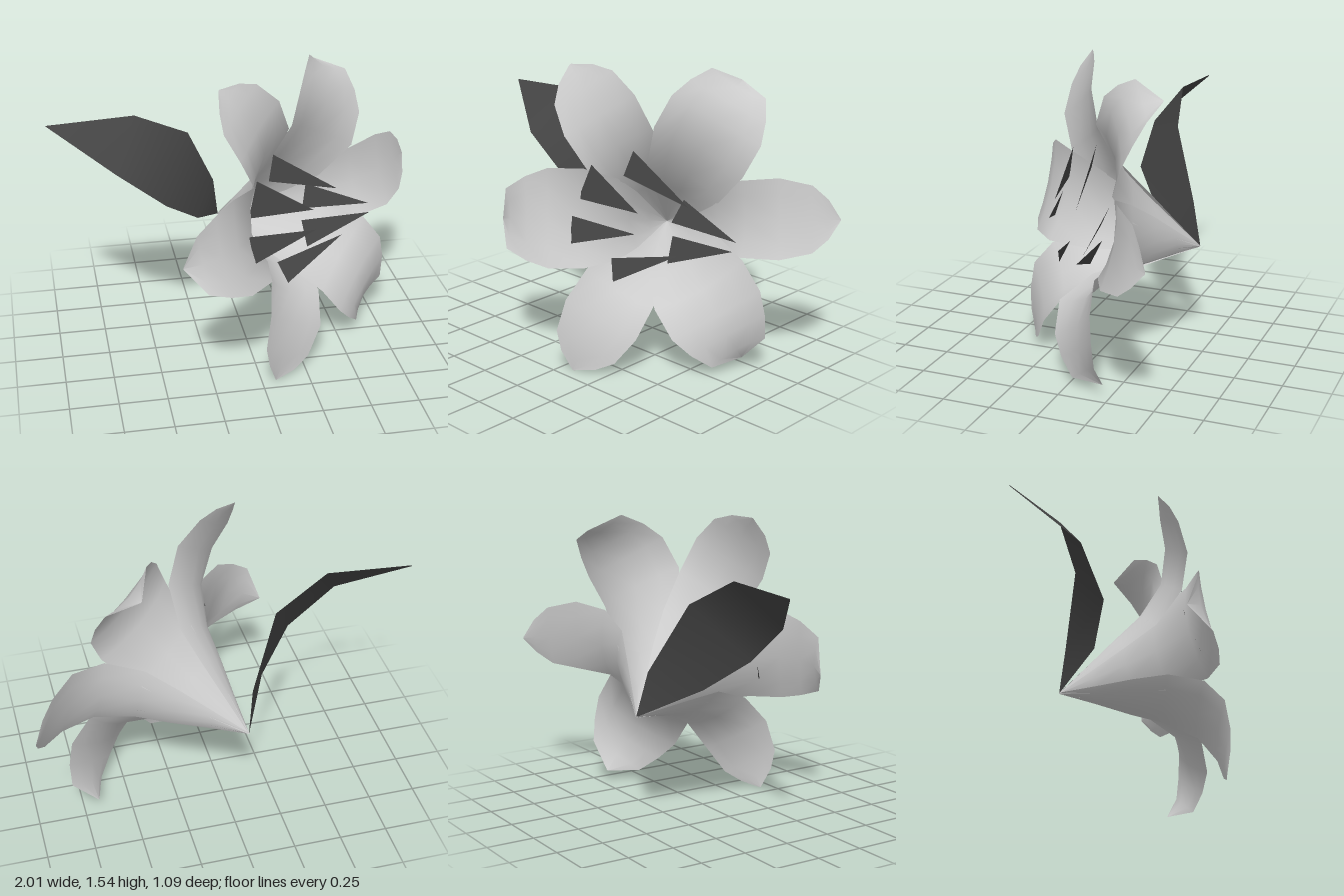
import * as THREE from 'three';

// Flower frame: base point, with local z along the opening's normal
const U = new THREE.Vector3(0.78, 0, -0.626);
const V = new THREE.Vector3(-0.138, 0.975, -0.172);
const A = new THREE.Vector3(0.61, 0.22, 0.76);
const BASE = new THREE.Vector3(-0.08, 0.55, -0.45);
const LEAN = 0.125; // the trumpet leans slightly upward

// Petal rows: [radius, height along axis, half width, edge lift]
const OUTER = [
  [0, 0, 0.004, 0], [0.1, 0.17, 0.06, 0.016], [0.2, 0.34, 0.12, 0.03], [0.29, 0.5, 0.165, 0.04],
  [0.43, 0.64, 0.195, 0.04], [0.6, 0.7, 0.205, 0.02], [0.76, 0.685, 0.17, 0.01],
  [0.84, 0.665, 0.1, 0.01], [0.905, 0.645, 0.004, 0],
];
const INNER = [
  [0, 0, 0.004, 0], [0.09, 0.17, 0.075, 0.02], [0.18, 0.34, 0.15, 0.045], [0.27, 0.49, 0.21, 0.06],
  [0.42, 0.64, 0.255, 0.06], [0.57, 0.68, 0.255, 0.03], [0.68, 0.67, 0.215, 0.015],
  [0.77, 0.62, 0.155, 0.03], [0.825, 0.537, 0.004, 0],
];

// Surface through rows of points, smooth shaded
function loft(rows) {
  const n = rows[0].length;
  const index = [];
  for (let i = 0; i < rows.length - 1; i++) {
    for (let j = 0; j < n - 1; j++) {
      const a = i * n + j, b = a + n;
      index.push(a, b, a + 1, b, b + 1, a + 1);
    }
  }
  const geo = new THREE.BufferGeometry().setFromPoints(rows.flat());
  geo.setIndex(index);
  geo.computeVertexNormals();
  return geo;
}

// Cupped petal whose cross-sections follow the profile rows
function petalGeometry(profile, angle) {
  const c = Math.cos(angle), s = Math.sin(angle);
  const rows = profile.map(([r, a, w, lift], i) => {
    const p = profile[Math.max(i - 1, 0)], q = profile[Math.min(i + 1, profile.length - 1)];
    const dr = q[0] - p[0], da = q[1] - p[1], len = Math.hypot(dr, da);
    return [-1, -0.6, 0, 0.6, 1].map((k) => {
      const up = lift * k * k;
      const rad = r - (up * da) / len, h = a + (up * dr) / len, t = w * k;
      return new THREE.Vector3(rad * c - t * s, rad * s + t * c + LEAN * h, h);
    });
  });
  return loft(rows);
}

export function createModel() {
  const petalMat = new THREE.MeshStandardMaterial({ color: 0xcccccc, side: THREE.DoubleSide });
  petalMat.name = 'pale petal grey';
  const darkMat = new THREE.MeshStandardMaterial({ color: 0x444444, side: THREE.DoubleSide });
  darkMat.name = 'dark leaf grey';

  const model = new THREE.Group();
  model.name = 'flower';
  const add = (parent, name, geo, mat) => {
    const mesh = new THREE.Mesh(geo, mat);
    mesh.name = name;
    parent.add(mesh);
  };

  // Six petals, narrow outer ones alternating with wide inner ones
  const petals = new THREE.Group();
  petals.name = 'petals';
  petals.matrix.makeBasis(U, V, A).setPosition(BASE);
  petals.matrix.decompose(petals.position, petals.quaternion, petals.scale);
  for (let i = 0; i < 6; i++) {
    const angle = THREE.MathUtils.degToRad(1.5 + 60 * i);
    const inner = i % 2 === 1;
    add(petals, inner ? 'innerPetal' : 'outerPetal', petalGeometry(inner ? INNER : OUTER, angle), petalMat);
  }
  model.add(petals);

  // Six flat triangular anthers: two corners of the wide end, then the point
  const anthers = [
    [[0.01, 1.04, 0.225], [-0.04, 0.86, 0.27], [0.31, 0.845, 0.2]],
    [[0.13, 1.1, 0.045], [0.1, 0.97, 0.085], [0.48, 0.865, 0.01]],
    [[-0.045, 0.775, 0.31], [-0.025, 0.64, 0.35], [0.32, 0.745, 0.23]],
    [[0.34, 0.85, -0.11], [0.31, 0.735, -0.05], [0.69, 0.705, -0.11]],
    [[0.125, 0.56, 0.2], [0.175, 0.455, 0.24], [0.49, 0.64, 0.105]],
    [[0.31, 0.66, -0.06], [0.33, 0.53, 0], [0.69, 0.665, -0.08]],
  ];
  for (const corners of anthers) {
    const geo = new THREE.BufferGeometry().setFromPoints(corners.map((p) => new THREE.Vector3(...p)));
    geo.computeVertexNormals();
    add(model, 'anther', geo, darkMat);
  }

  // Single leaf, as pairs of points on its lower and upper edge
  const leaf = [
    [[-0.08, 0.55, -0.45], [-0.08, 0.56, -0.45]],
    [[-0.235, 0.68, -0.15], [-0.11, 0.78, -0.4]],
    [[-0.42, 0.84, 0.01], [-0.265, 1.13, -0.255]],
    [[-0.67, 1.04, 0.02], [-0.55, 1.275, -0.185]],
    [[-1, 1.245, -0.19], [-1, 1.25, -0.19]],
  ];
  add(model, 'leaf', loft(leaf.map((row) => row.map((p) => new THREE.Vector3(...p)))), darkMat);
  return model;
}
